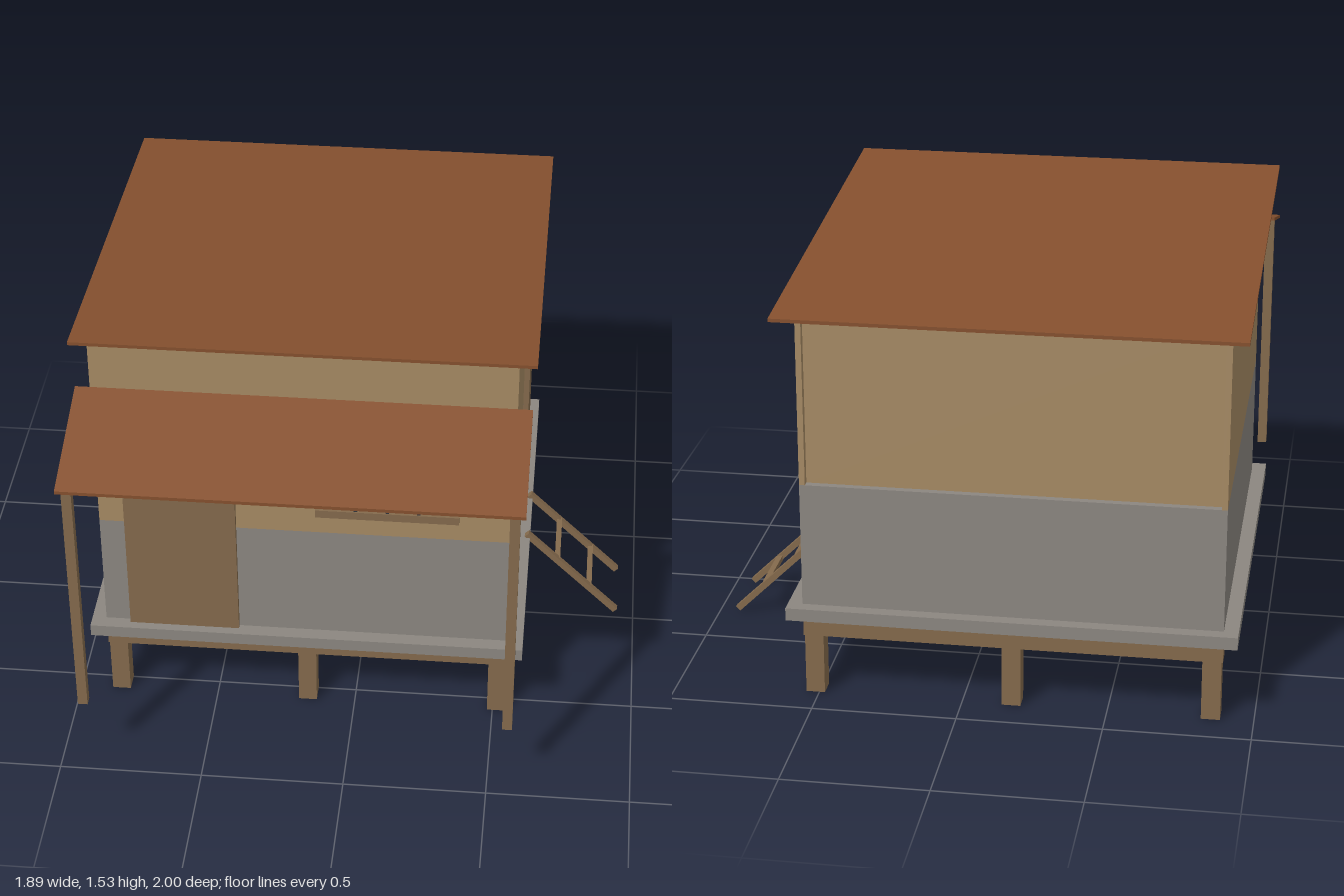
import * as THREE from 'three';

const mat = (name, color) => {
  const m = new THREE.MeshStandardMaterial({ color });
  m.name = name;
  return m;
};

export function createModel() {
  const plaster = mat('tan plaster', 0xa68a64);
  const stone = mat('grey stone', 0x8b8680);
  const wood = mat('brown wood', 0x846a4c);
  const rust = mat('rust roof', 0x85502e);
  const glass = mat('dark glass', 0x383c44);
  const bars = mat('window bars', 0x30343b);

  const house = new THREE.Group();
  house.name = 'stiltHouse';

  const add = (name, geometry, material) => {
    const mesh = new THREE.Mesh(geometry, material);
    mesh.name = name;
    house.add(mesh);
    return mesh;
  };
  // box given by its limits on each axis
  const box = (name, material, [x0, x1], [y0, y1], [z0, z1]) => {
    const mesh = add(name, new THREE.BoxGeometry(x1 - x0, y1 - y0, z1 - z0), material);
    mesh.position.set((x0 + x1) / 2, (y0 + y1) / 2, (z0 + z1) / 2);
    return mesh;
  };
  // side outline of [z, y] points, carried across from x0 to x1
  const prism = (name, material, points, x0, x1) => {
    const shape = new THREE.Shape(points.map(([z, y]) => new THREE.Vector2(-z, y)));
    const geometry = new THREE.ExtrudeGeometry(shape, { depth: x1 - x0, bevelEnabled: false });
    geometry.rotateY(Math.PI / 2).translate(x0, 0, 0);
    return add(name, geometry, material);
  };

  const L = -0.89, R = 0.55, front = 0.57, back = -0.88;
  const base = 0.335, band = 0.775;
  const roofY = (z) => 1.52 + (z - front) * 0.081; // underside of the main roof

  // stilts, cross beams and deck
  for (const z of [0.53, -0.152, -0.84])
    for (const x of [-0.853, -0.17, 0.513])
      box('stilt', wood, [x - 0.0325, x + 0.0325], [0, 0.29], [z - 0.0345, z + 0.0345]);
  for (const z of [0.53, -0.84])
    box('beam', wood, [L, R], [0.215, 0.29], [z - 0.035, z + 0.035]);
  box('deck', stone, [-0.94, 0.6], [0.29, base], [-0.925, 0.62]);

  // walls: stone below, plaster above, with the rear plaster set back between the sides
  box('lowerWall', stone, [L, R], [base, band], [back, front]);
  const wall = (name, x0, x1, zBack) =>
    prism(name, plaster, [[front, band], [front, roofY(front)], [zBack, roofY(zBack)], [zBack, band]], x0, x1);
  wall('upperWall', L + 0.02, R - 0.02, back + 0.025);
  wall('rightSideWall', L, L + 0.02, back);
  wall('leftSideWall', R - 0.02, R, back);

  // main roof and porch roof
  const slab = (name, z0, y0, z1, y1, t, x0, x1) =>
    prism(name, rust, [[z0, y0], [z0, y0 + t], [z1, y1 + t], [z1, y1]], x0, x1);
  slab('mainRoof', 0.595, roofY(0.595), -1, roofY(-1), 0.012, -0.95, 0.61);
  slab('porchRoof', 1, 1.208, front, 1.328, 0.012, -0.94, 0.6);
  for (const x of [-0.905, 0.565])
    box('porchPost', wood, [x - 0.017, x + 0.017], [0.29, 1.218], [0.954, 0.988]);

  // doors
  box('frontDoor', wood, [-0.8, -0.41], [base, 1.255], [front - 0.01, front + 0.018]);
  box('sideDoor', wood, [R - 0.01, R + 0.02], [base, 1.235], [-0.62, -0.265]);

  // barred window with sill
  const wx0 = -0.1, wx1 = 0.335, wy0 = 0.895, wy1 = 1.23;
  box('windowPane', glass, [wx0, wx1], [wy0, wy1], [front, front + 0.009]);
  for (let i = 1; i < 4; i++) {
    const x = wx0 + (wx1 - wx0) * i / 4;
    box('windowUpright', bars, [x - 0.006, x + 0.006], [wy0, wy1], [front + 0.005, 0.6]);
  }
  box('windowCrossbar', bars, [wx0, wx1], [1.056, 1.068], [front + 0.005, 0.598]);
  box('windowSill', wood, [-0.13, 0.365], [0.865, wy0], [front - 0.005, 0.604]);

  // leaning ladder
  const top = new THREE.Vector2(0.588, 0.349), foot = new THREE.Vector2(0.933, 0.012);
  const lean = Math.atan2(foot.y - top.y, foot.x - top.x);
  for (const z of [-0.279, -0.035]) {
    const rail = add('ladderRail', new THREE.BoxGeometry(top.distanceTo(foot), 0.022, 0.021), wood);
    rail.position.set((top.x + foot.x) / 2, (top.y + foot.y) / 2, z);
    rail.rotation.z = lean;
  }
  for (const x of [0.706, 0.829]) {
    const y = top.y + (x - top.x) * Math.tan(lean);
    box('ladderRung', wood, [x - 0.01, x + 0.01], [y - 0.01, y + 0.01], [-0.279, -0.035]);
  }
  return house;
}
